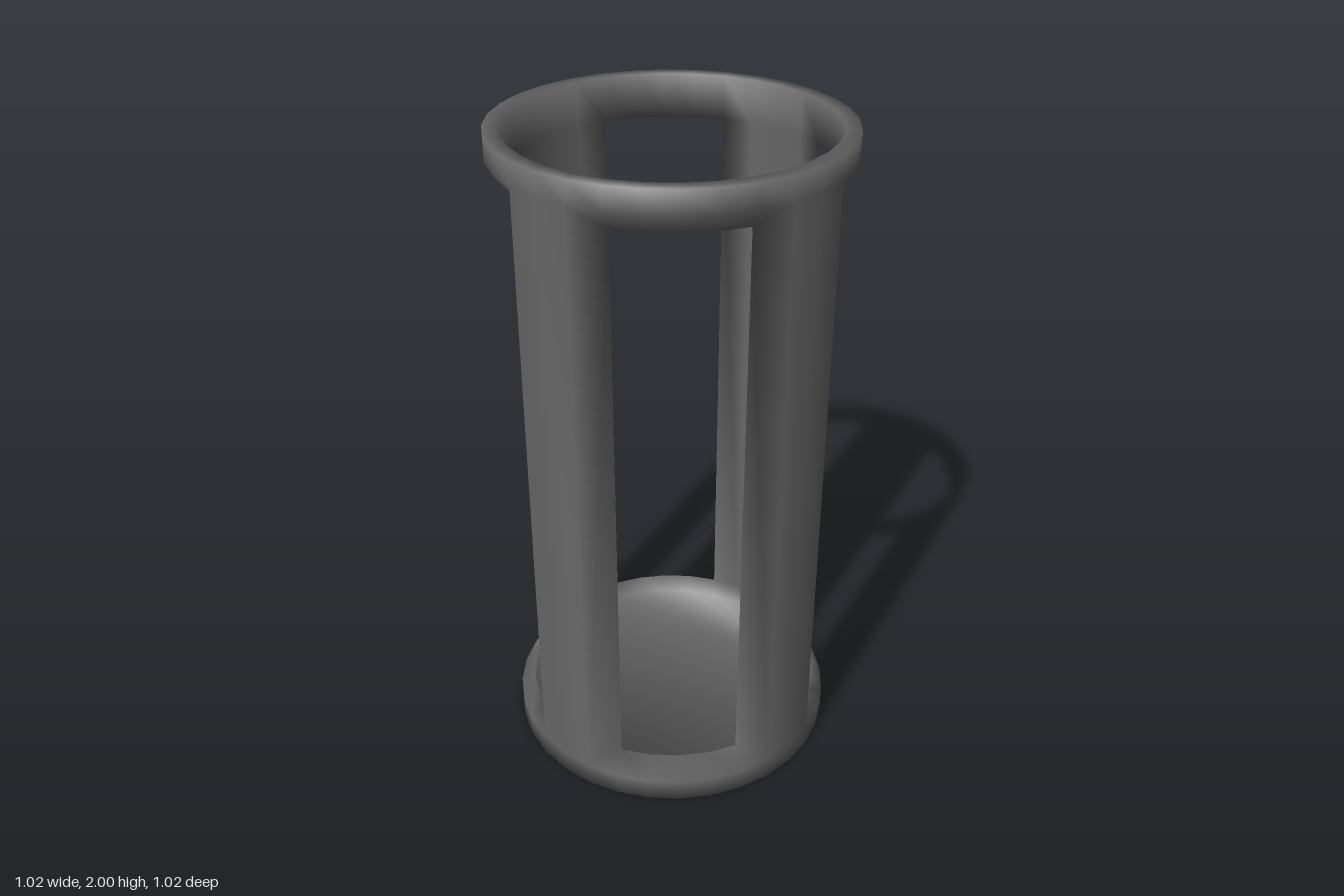
import * as THREE from 'three';

const SIDES = 32;        // facets around the tube
const R_OUT = 0.51, R_IN = 0.465;

// Rings of shared vertices: [radius, height]
const RINGS = [
  [R_OUT, 0],            // outer foot
  [R_OUT, 0.07],         // outer sill edge
  [R_OUT, 1.93],         // outer lintel edge
  [R_OUT, 2],            // outer rim
  [R_IN, 2],             // inner rim
  [R_IN, 1.87],          // inner lintel edge
  [R_IN, 0.14],          // inner sill edge
  [R_IN, 0.07],          // floor
];
const [FOOT, SILL_OUT, LINTEL_OUT, RIM_OUT, RIM_IN, LINTEL_IN, SILL_IN, FLOOR] = RINGS.keys();

// Smooth normals, each face weighted by its corner angle
function smoothNormals(points, index) {
  const normals = points.map(() => new THREE.Vector3());
  const e1 = new THREE.Vector3(), e2 = new THREE.Vector3(), n = new THREE.Vector3();
  for (let i = 0; i < index.length; i += 3) {
    for (let j = 0; j < 3; j++) {
      const [a, b, c] = [0, 1, 2].map((s) => index[i + ((j + s) % 3)]);
      e1.subVectors(points[b], points[a]);
      e2.subVectors(points[c], points[a]);
      n.crossVectors(e1, e2).normalize();
      normals[a].addScaledVector(n, e1.angleTo(e2));
    }
  }
  return normals.flatMap((m) => m.normalize().toArray());
}

function cageGeometry() {
  const points = [], index = [];
  for (const [r, y] of RINGS) {
    for (let k = 0; k < SIDES; k++) {
      const a = (k / SIDES) * Math.PI * 2;
      points.push(new THREE.Vector3(r * Math.cos(a), y, r * Math.sin(a)));
    }
  }

  const v = (ring, k) => ring * SIDES + ((k + SIDES) % SIDES);
  const tri = (a, b, c) => index.push(a, b, c);
  const quad = (a, b, c, d) => index.push(a, b, c, a, c, d);
  const strip = (a, b, k) => quad(v(a, k), v(b, k), v(b, k + 1), v(a, k + 1));

  // Underside and floor discs
  for (let k = 1; k < SIDES - 1; k++) {
    tri(v(FOOT, 0), v(FOOT, k), v(FOOT, k + 1));
    tri(v(FLOOR, 0), v(FLOOR, k + 1), v(FLOOR, k));
  }

  // Bands and rim that run all the way round
  for (let k = 0; k < SIDES; k++) {
    strip(FOOT, SILL_OUT, k);
    strip(LINTEL_OUT, RIM_OUT, k);
    strip(RIM_OUT, RIM_IN, k);
    strip(RIM_IN, LINTEL_IN, k);
    strip(SILL_IN, FLOOR, k);
  }

  // Four windows with splayed edges, and a pillar after each
  for (let c = 0; c < SIDES; c += 8) {
    for (let k = c - 2; k < c + 2; k++) {
      strip(SILL_OUT, SILL_IN, k);
      strip(LINTEL_IN, LINTEL_OUT, k);
    }
    // splayed corners
    const l = c - 3, r = c + 2;
    tri(v(SILL_OUT, l), v(SILL_IN, l + 1), v(SILL_OUT, l + 1));
    tri(v(SILL_OUT, r), v(SILL_IN, r), v(SILL_OUT, r + 1));
    tri(v(LINTEL_OUT, l), v(LINTEL_OUT, l + 1), v(LINTEL_IN, l + 1));
    tri(v(LINTEL_IN, r), v(LINTEL_OUT, r), v(LINTEL_OUT, r + 1));
    // splayed jambs
    quad(v(SILL_OUT, l), v(LINTEL_OUT, l), v(LINTEL_IN, l + 1), v(SILL_IN, l + 1));
    quad(v(SILL_OUT, r + 1), v(SILL_IN, r), v(LINTEL_IN, r), v(LINTEL_OUT, r + 1));
    // pillar, outside and inside
    for (let k = c + 3; k < c + 5; k++) strip(SILL_OUT, LINTEL_OUT, k);
    for (let k = c + 2; k < c + 6; k++) strip(LINTEL_IN, SILL_IN, k);
  }

  const geometry = new THREE.BufferGeometry();
  const positions = points.flatMap((p) => p.toArray());
  geometry.setAttribute('position', new THREE.Float32BufferAttribute(positions, 3));
  geometry.setAttribute('normal', new THREE.Float32BufferAttribute(smoothNormals(points, index), 3));
  geometry.setIndex(index);
  return geometry;
}

export function createModel() {
  const group = new THREE.Group();
  group.name = 'cylindricalHolder';
  const cage = new THREE.Mesh(cageGeometry(), new THREE.MeshStandardMaterial({ color: 0x666666 }));
  cage.name = 'windowedCage';
  group.add(cage);
  return group;
}
